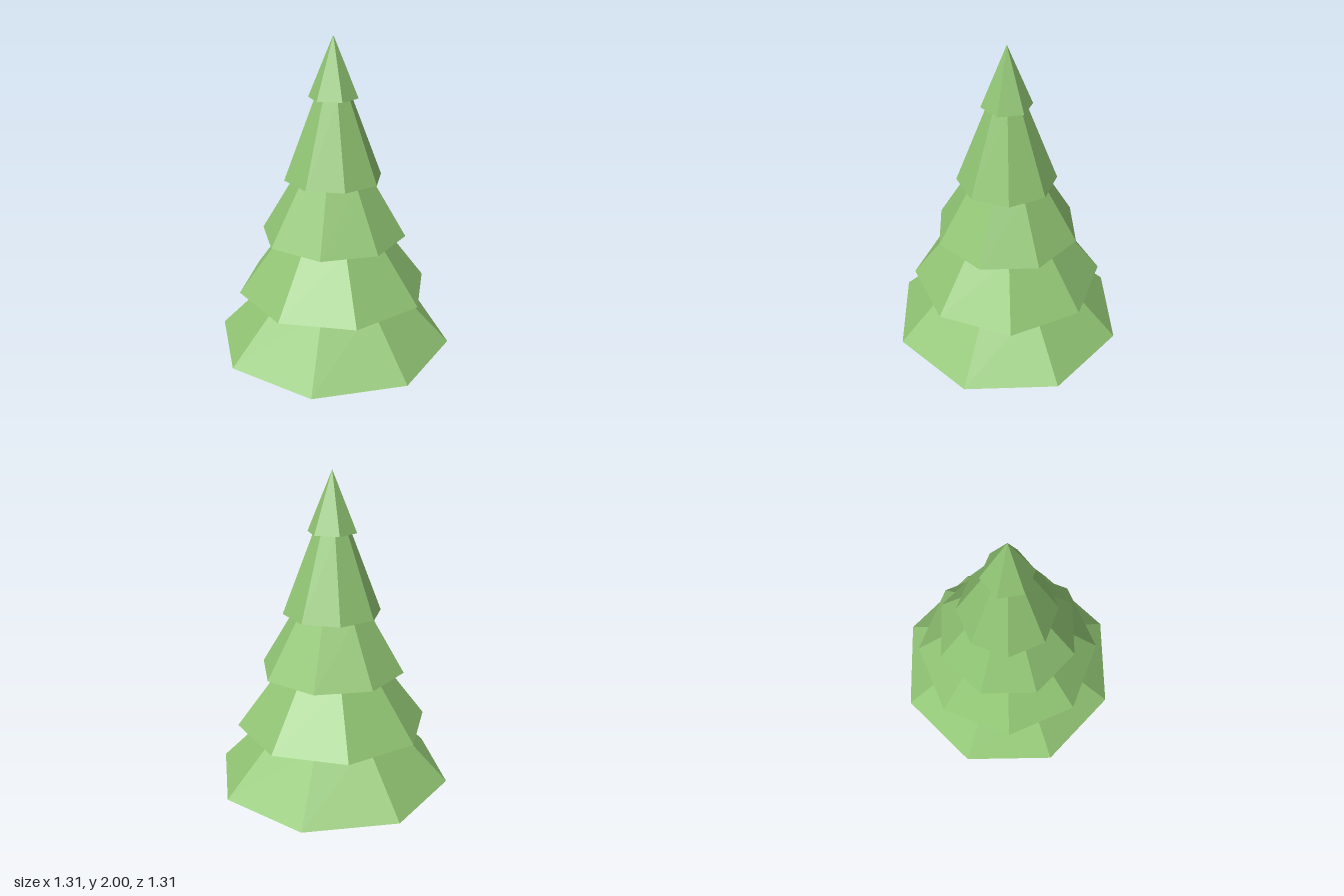
import * as THREE from 'three';

export function createModel() {
  const tree = new THREE.Group();
  tree.name = 'pineTree';

  const foliage = new THREE.MeshStandardMaterial({ color: 0x90c473, flatShading: true });
  foliage.name = 'leafGreen';
  const bark = new THREE.MeshStandardMaterial({ color: 0xb0866c, flatShading: true });
  bark.name = 'barkBrown';

  // Faceted tapered section between two heights; turn rotates its corners
  function section(name, material, sides, bottom, top, y0, y1, turn) {
    const geometry = new THREE.CylinderGeometry(top, bottom, y1 - y0, sides, 1, false, turn);
    geometry.translate(0, (y0 + y1) / 2, 0);
    const mesh = new THREE.Mesh(geometry, material);
    mesh.name = name;
    tree.add(mesh);
  }

  // Hexagonal trunk
  section('trunk', bark, 6, 0.072, 0.057, 0, 0.322, Math.PI / 6);

  // Foliage skirts, each turned half a facet from the one below
  const tiers = [
    // bottom radius, top radius, bottom height, top height
    [0.655, 0.352, 0.322, 0.636],
    [0.525, 0.287, 0.636, 0.953],
    [0.393, 0.207, 0.953, 1.266],
    [0.263, 0.098, 1.266, 1.69],
  ];
  tiers.forEach(([bottom, top, y0, y1], i) => {
    section(`foliageTier${i + 1}`, foliage, 8, bottom, top, y0, y1, (i % 2) * Math.PI / 8);
  });

  // Pointed six-sided tip
  section('treeTip', foliage, 6, 0.13, 0, 1.69, 2, Math.PI / 6);

  return tree;
}
